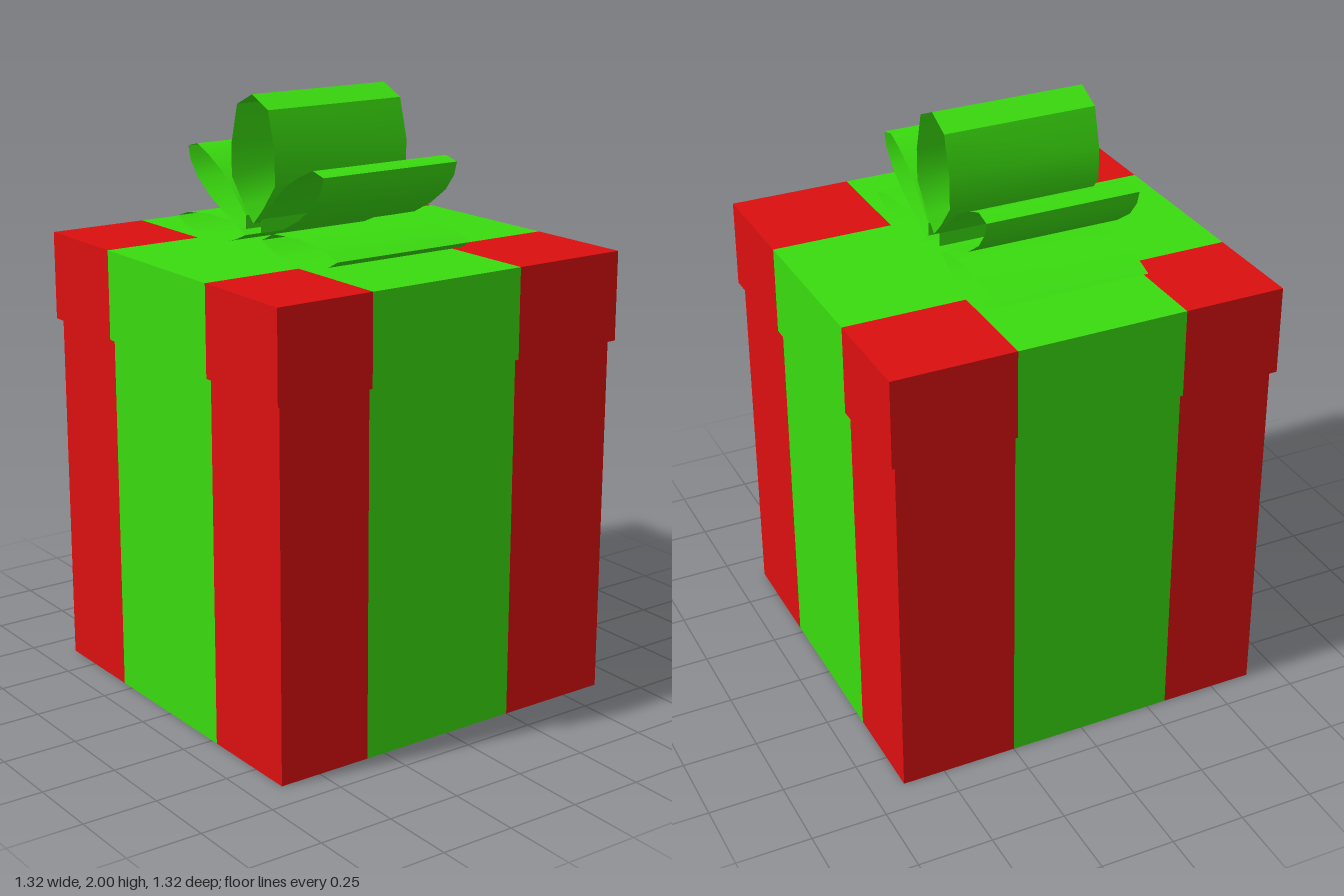
import * as THREE from 'three';
import { toCreasedNormals } from 'three/addons/utils/BufferGeometryUtils.js';

// ribbon edges across the box
const RX = [-0.3, 0.277], RZ = [-0.25, 0.318];
// bow depth and mirror axis
const BOW_Z = [-0.225, 0.29], BOW_X = -0.012;

// Box whose faces are cut along the ribbon edges; group 0 = paper, group 1 = ribbon
function wrappedBox(size, y0, y1) {
  const geo = new THREE.BoxGeometry(size, y1 - y0, size, 3, 1, 3);
  geo.translate(0, (y0 + y1) / 2, 0);
  const pos = geo.attributes.position;
  const snap = (v, edges) => (Math.abs(v) > size * 0.4 ? v : v < 0 ? edges[0] : edges[1]);
  for (let i = 0; i < pos.count; i++) {
    pos.setX(i, snap(pos.getX(i), RX));
    pos.setZ(i, snap(pos.getZ(i), RZ));
  }
  const inside = (v, e) => v > e[0] && v < e[1];
  const paper = [], ribbon = [], idx = geo.index.array;
  for (let t = 0; t < idx.length; t += 3) {
    const tri = [idx[t], idx[t + 1], idx[t + 2]];
    const cx = tri.reduce((s, i) => s + pos.getX(i), 0) / 3;
    const cz = tri.reduce((s, i) => s + pos.getZ(i), 0) / 3;
    (inside(cx, RX) || inside(cz, RZ) ? ribbon : paper).push(...tri);
  }
  geo.setIndex([...paper, ...ribbon]);
  geo.clearGroups();
  geo.addGroup(0, paper.length, 0);
  geo.addGroup(paper.length, ribbon.length, 1);
  return geo;
}

// Closed thin band swept along z; points run counter-clockwise seen from the front
function ribbonLoop(points) {
  const verts = [], index = [], n = points.length;
  for (const [x, y] of points) verts.push(x, y, BOW_Z[0], x, y, BOW_Z[1]);
  for (let i = 0; i < n; i++) {
    const a = 2 * i, b = 2 * ((i + 1) % n);
    index.push(a, b, b + 1, a, b + 1, a + 1);
  }
  const geo = new THREE.BufferGeometry();
  geo.setAttribute('position', new THREE.Float32BufferAttribute(verts, 3));
  geo.setIndex(index);
  return toCreasedNormals(geo, 0.75);
}

const mirrored = (points) => points.map(([x, y]) => [2 * BOW_X - x, y]).reverse();

export function createModel() {
  const group = new THREE.Group();
  group.name = 'giftBox';
  const paper = new THREE.MeshStandardMaterial({ color: 0xdc0f0f });
  paper.name = 'red paper';
  const ribbon = new THREE.MeshStandardMaterial({ color: 0x3adc0f, side: THREE.DoubleSide });
  ribbon.name = 'green ribbon';

  const add = (parent, name, geo, mat) => {
    const mesh = new THREE.Mesh(geo, mat);
    mesh.name = name;
    parent.add(mesh);
  };

  // box and lid
  add(group, 'boxBody', wrappedBox(1.284, 0, 1.205), [paper, ribbon]);
  add(group, 'lid', wrappedBox(1.316, 1.205, 1.5), [paper, ribbon]);

  // bow loops
  const bow = new THREE.Group();
  bow.name = 'bow';
  group.add(bow);

  const topHalf = [[0.04, 1.64], [0.11, 1.725], [0.11, 1.83], [0.075, 1.96]];
  const top = [[BOW_X, 1.59], ...topHalf, [BOW_X, 2], ...mirrored(topHalf)];
  const upper = [
    [0.03, 1.566], [0.156, 1.598], [0.24, 1.64], [0.315, 1.693], [0.357, 1.746], [0.37, 1.79],
    [0.315, 1.804], [0.25, 1.778], [0.17, 1.735], [0.09, 1.667], [0.03, 1.61],
  ];
  const lower = [
    [0.035, 1.545], [0.09, 1.522], [0.14, 1.508], [0.27, 1.508], [0.395, 1.52],
    [0.443, 1.545], [0.38, 1.566], [0.246, 1.582], [0.1, 1.575],
  ];
  add(bow, 'topLoop', ribbonLoop(top), ribbon);
  add(bow, 'upperLeftLoop', ribbonLoop(upper), ribbon);
  add(bow, 'upperRightLoop', ribbonLoop(mirrored(upper)), ribbon);
  add(bow, 'lowerLeftLoop', ribbonLoop(lower), ribbon);
  add(bow, 'lowerRightLoop', ribbonLoop(mirrored(lower)), ribbon);

  return group;
}
